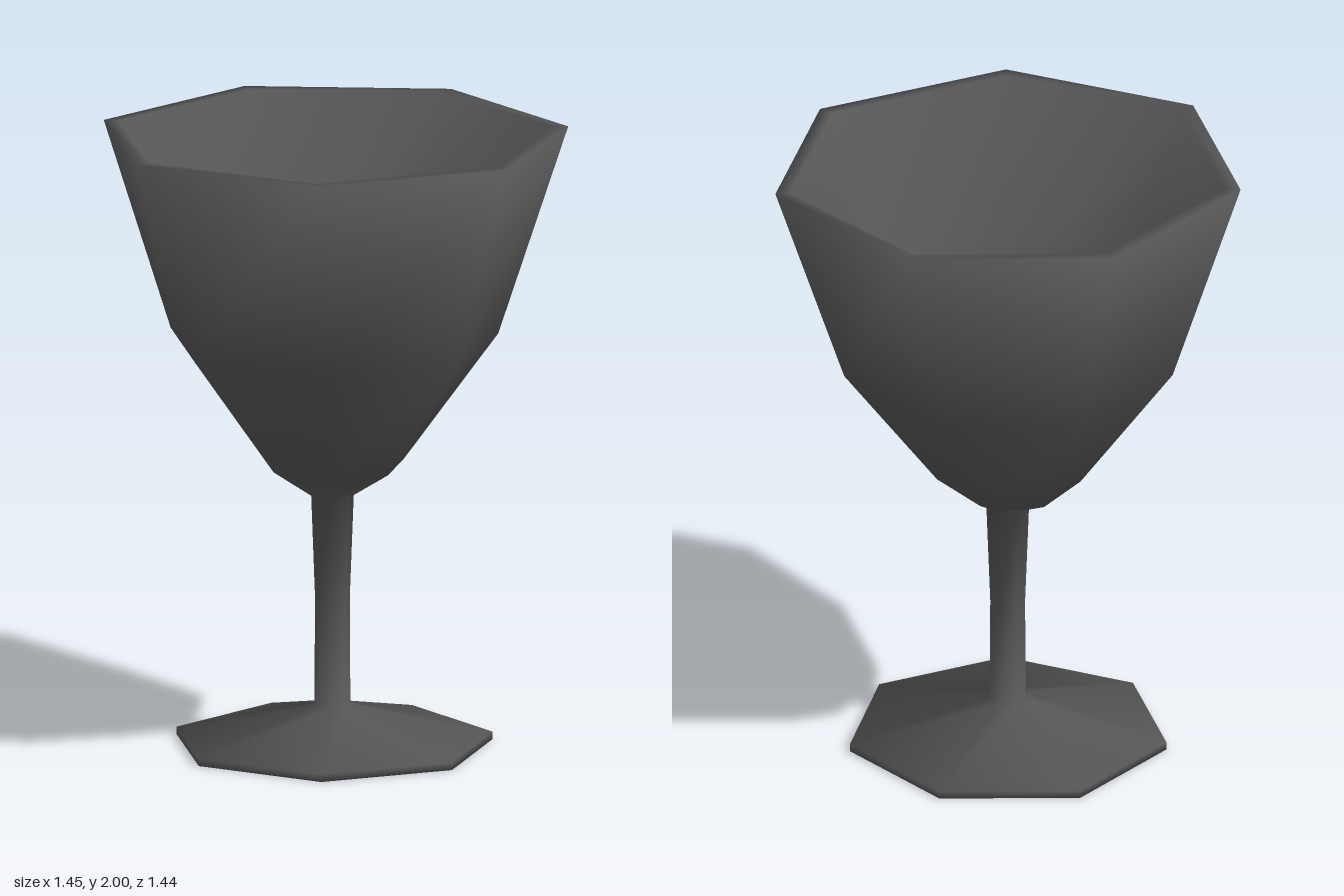
import * as THREE from 'three';

const SIDES = 7;
const CENTRE_X = -0.04; // the heptagon's axis, so that its width is centred on x = 0

// Profile rings from the underside up and over the rim: [radiusX, radiusZ, y]
const PROFILE = [
  [0, 0, 0], [0.518, 0.521, 0], [0.518, 0.521, 0.025], // underside and edge of the foot
  [0.059, 0.06, 0.135], [0.057, 0.058, 0.48], [0.07, 0.0705, 0.82], // stem
  [0.232, 0.287, 0.93], [0.537, 0.554, 1.33], [0.763, 0.738, 2], // outer wall
  [0.713, 0.69, 2], [0.46, 0.475, 1.35], [0.23, 0.26, 1.02], [0, 0, 0.95], // inner wall
];

// First and last profile ring of each part
const PARTS = { foot: [0, 3], stem: [3, 5], bowl: [5, 12] };

// Outward direction of the profile between ring i and the next, as (radial, up)
function slope(i) {
  const [r0, , y0] = PROFILE[i], [r1, , y1] = PROFILE[i + 1];
  return new THREE.Vector2(y1 - y0, r0 - r1).normalize();
}

// Smooth normal of ring i, shared evenly by the faces above and below it
function ringNormal(i) {
  if (i === 0) return new THREE.Vector2(0, -1);
  if (i === PROFILE.length - 1) return new THREE.Vector2(0, 1);
  return slope(i - 1).add(slope(i)).normalize();
}

// Seven-sided loft through part of the profile, a corner facing +x
function loft(first, last) {
  const positions = [], normals = [], index = [];
  for (let i = first; i <= last; i++) {
    const [rx, rz, y] = PROFILE[i];
    const n = ringNormal(i);
    for (let j = 0; j < SIDES; j++) {
      const angle = (j / SIDES) * Math.PI * 2;
      const cos = Math.cos(angle), sin = -Math.sin(angle);
      positions.push(rx * cos, y, rz * sin);
      normals.push(n.x * cos, n.y, n.x * sin);
      if (i === last) continue;
      const a = (i - first) * SIDES + j;
      const b = (i - first) * SIDES + ((j + 1) % SIDES);
      if (rx > 0) index.push(a, b, b + SIDES);
      if (PROFILE[i + 1][0] > 0) index.push(a, b + SIDES, a + SIDES);
    }
  }
  const geometry = new THREE.BufferGeometry();
  geometry.setAttribute('position', new THREE.Float32BufferAttribute(positions, 3));
  geometry.setAttribute('normal', new THREE.Float32BufferAttribute(normals, 3));
  geometry.setIndex(index);
  return geometry;
}

export function createModel() {
  const goblet = new THREE.Group();
  goblet.name = 'goblet';
  const material = new THREE.MeshStandardMaterial({ color: 0x555555 });
  for (const [name, [first, last]] of Object.entries(PARTS)) {
    const mesh = new THREE.Mesh(loft(first, last), material);
    mesh.name = name;
    mesh.position.x = CENTRE_X;
    goblet.add(mesh);
  }
  return goblet;
}
